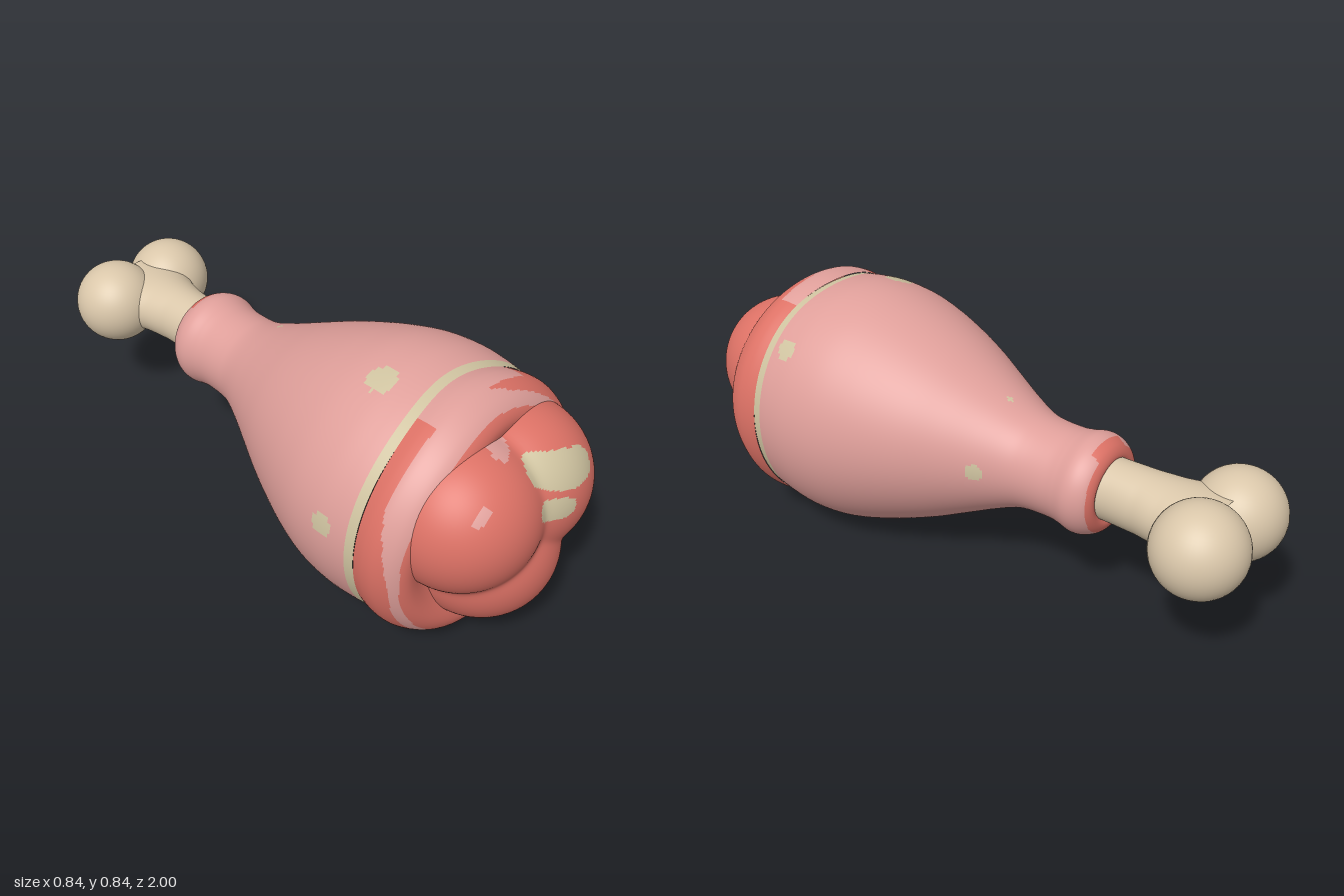
import * as THREE from 'three';

const CY = 0.42; // height of the long axis
const SEG = 160;
const PINK = 0, RED = 1, CREAM = 2;

// Closed surface of rings: point(t, angle) gives each vertex, paint(centre) the colour of each quad
function ringSurface(name, rows, point, paint, materials) {
  const pos = [], faces = materials.map(() => []);
  const pts = [];
  for (let i = 0; i <= rows; i++) {
    for (let j = 0; j < SEG; j++) {
      const p = point(i / rows, (j / SEG) * Math.PI * 2);
      pts.push(p);
      pos.push(p.x, p.y, p.z);
    }
  }
  for (let i = 0; i < rows; i++) {
    for (let j = 0; j < SEG; j++) {
      const k = (j + 1) % SEG;
      const a = i * SEG + j, b = i * SEG + k, c = b + SEG, d = a + SEG;
      const mid = pts[a].clone().add(pts[c]).multiplyScalar(0.5);
      faces[paint(mid)].push(a, b, c, a, c, d);
    }
  }
  const geo = new THREE.BufferGeometry();
  geo.setAttribute('position', new THREE.Float32BufferAttribute(pos, 3));
  geo.setIndex(faces.flat());
  let start = 0;
  faces.forEach((f, m) => {
    if (f.length) geo.addGroup(start, f.length, m);
    start += f.length;
  });
  geo.computeVertexNormals();
  const mesh = new THREE.Mesh(geo, materials);
  mesh.name = name;
  return mesh;
}

const profile = (points) => new THREE.SplineCurve(points.map(([r, z]) => new THREE.Vector2(r, z)));

// Tilted ellipse test on the front plane
function inEllipse(p, x, y, rx, ry, tilt = 0) {
  const dx = p.x - x, dy = p.y - y, c = Math.cos(tilt), s = Math.sin(tilt);
  return Math.abs((dx * c + dy * s) / rx) ** 2.5 + Math.abs((dy * c - dx * s) / ry) ** 2.5 < 1;
}

// Piecewise-linear lookup
function lookup(table, v) {
  for (let i = 1; i < table.length; i++) {
    const [a, b] = [table[i - 1], table[i]];
    if (v <= b[0]) return a.map((q, k) => q + (b[k] - q) * ((v - a[0]) / (b[0] - a[0])));
  }
  return table[table.length - 1];
}

// Edge of the skin, dipping back at the top
const skinEnd = (a) => 0.65 - 0.025 * Math.exp(-(((a - Math.PI / 2) / 0.45) ** 2));

export function createModel() {
  const model = new THREE.Group();
  const mat = (name, color) => Object.assign(new THREE.MeshStandardMaterial({ color }), { name });
  const pink = mat('skin pink', 0xdf9f9a);
  const red = mat('meat red', 0xdc7165);
  const fat = mat('fat cream', 0xcfc3a0);
  const bone = mat('bone cream', 0xdac7aa);
  const flesh = [pink, red, fat];

  // Skin with collar, fat line and pale spots
  const skinCurve = profile([
    [0.08, -0.485], [0.11, -0.5], [0.14, -0.487], [0.16, -0.455], [0.165, -0.42], [0.155, -0.375],
    [0.15, -0.33], [0.153, -0.25], [0.166, -0.19], [0.205, -0.1], [0.255, 0], [0.305, 0.1],
    [0.348, 0.2], [0.384, 0.3], [0.41, 0.4], [0.42, 0.5], [0.416, 0.58], [0.406, 0.65],
  ]);
  const spots = [
    [0.31, 0.69, 0.56, 0.036], [0.21, 0.43, -0.12, 0.032], [0.29, 0.13, 0.57, 0.034],
    [-0.14, 0.81, 0.48, 0.045], [-0.41, 0.48, 0.53, 0.036], [-0.2, 0.36, -0.11, 0.018],
    [0.06, 0.2, -0.04, 0.022], [0.02, 0.615, -0.12, 0.01],
  ].map(([x, y, z, r]) => [new THREE.Vector3(x, y, z), r]);
  model.add(ringSurface('skin', 200, (t, a) => {
    const q = skinCurve.getPoint(t);
    const r = q.x * (1 + 0.004 * Math.sin(3 * a + 9 * q.y));
    const shift = (skinEnd(a) - 0.65) * THREE.MathUtils.smoothstep(q.y, 0.3, 0.65);
    return new THREE.Vector3(r * Math.cos(a), CY + r * Math.sin(a), q.y + shift);
  }, (p) => {
    const a = Math.atan2(p.y - CY, p.x), r = Math.hypot(p.x, p.y - CY);
    if (p.z > skinEnd(a) - 0.032) return CREAM;
    if (p.z < -0.45 && (r < 0.14 || (Math.abs(p.x) < 0.07 && p.y > CY && p.z < -0.46))) return RED;
    return spots.some(([c, s]) => p.distanceTo(c) < s) ? CREAM : PINK;
  }, flesh));

  // Rolled rim of meat with a pink streak: [angle, radius, half width]
  const streak = [
    [38, 0.36, 0.008], [45, 0.362, 0.014], [75, 0.378, 0.016], [95, 0.393, 0.024], [130, 0.395, 0.026],
    [160, 0.388, 0.02], [185, 0.377, 0.011], [230, 0.382, 0.01], [275, 0.385, 0.006],
  ];
  const rimCurve = profile([
    [0.406, 0.65], [0.412, 0.69], [0.408, 0.73], [0.385, 0.775], [0.35, 0.803], [0.31, 0.805], [0.25, 0.78],
  ]);
  model.add(ringSurface('meatRim', 60, (t, a) => {
    const q = rimCurve.getPoint(t);
    const shift = (skinEnd(a) - 0.65) * (1 - t) + t * 0.014 * Math.sin(3 * a + 1.2);
    return new THREE.Vector3(q.x * Math.cos(a), CY + q.x * Math.sin(a), q.y + shift);
  }, (p) => {
    let deg = THREE.MathUtils.radToDeg(Math.atan2(p.y - CY, p.x));
    if (deg < 0) deg += 360;
    const r = Math.hypot(p.x, p.y - CY);
    if (p.z < 0.71 && deg > 64 && deg < 115) return PINK;
    if (p.z < 0.71 || deg < 38 || deg > 275) return RED;
    const [, mid, half] = lookup(streak, deg);
    return Math.abs(r - mid) < half ? PINK : RED;
  }, flesh));

  // Three bulging lobes pinched together at the middle
  const lobes = [[-0.11, 0.513], [0.11, 0.513], [0, 0.33]].map(([x, y]) => new THREE.Vector3(x, y, 0.765));
  const origin = new THREE.Vector3(0, 0.44, 0.765);
  model.add(ringSurface('meatLobes', 80, (t, a) => {
    const e = -0.15 + t * (Math.PI / 2 + 0.15);
    const dir = new THREE.Vector3(Math.cos(e) * Math.cos(a), Math.cos(e) * Math.sin(a), Math.sin(e));
    let sum = 0;
    for (const c of lobes) {
      const o = c.clone().sub(origin), b = o.dot(dir);
      const reach = b + Math.sqrt(Math.max(0, b * b - o.lengthSq() + 0.235 ** 2));
      sum += Math.exp(reach * 130);
    }
    return dir.multiplyScalar(Math.log(sum) / 130).add(origin);
  }, (p) => {
    if (inEllipse(p, 0.09, 0.65, 0.118, 0.046, -0.2) || inEllipse(p, 0.035, 0.562, 0.066, 0.033, -0.2)) return CREAM;
    return inEllipse(p, -0.04, 0.738, 0.05, 0.02) || inEllipse(p, -0.22, 0.65, 0.034, 0.011, 0.65) ? PINK : RED;
  }, flesh));

  // Bone shaft, flaring sideways into two knobs
  const flare = [[-0.88, 0.15], [-0.8, 0.17], [-0.76, 0.148], [-0.7, 0.122], [-0.62, 0.103], [-0.52, 0.096], [-0.44, 0.096]];
  model.add(ringSurface('boneShaft', 40, (t, a) => {
    const z = -0.88 + 0.44 * t;
    const rx = lookup(flare, z)[1];
    return new THREE.Vector3(rx * Math.cos(a), 0.425 + 0.102 * Math.sin(a), z);
  }, () => 0, [bone]));
  for (const side of [-1, 1]) {
    const knob = new THREE.Mesh(new THREE.SphereGeometry(0.145, 48, 32), bone);
    knob.name = side > 0 ? 'leftBoneKnob' : 'rightBoneKnob';
    knob.position.set(side * 0.117, 0.425, -0.856);
    model.add(knob);
  }
  return model;
}
